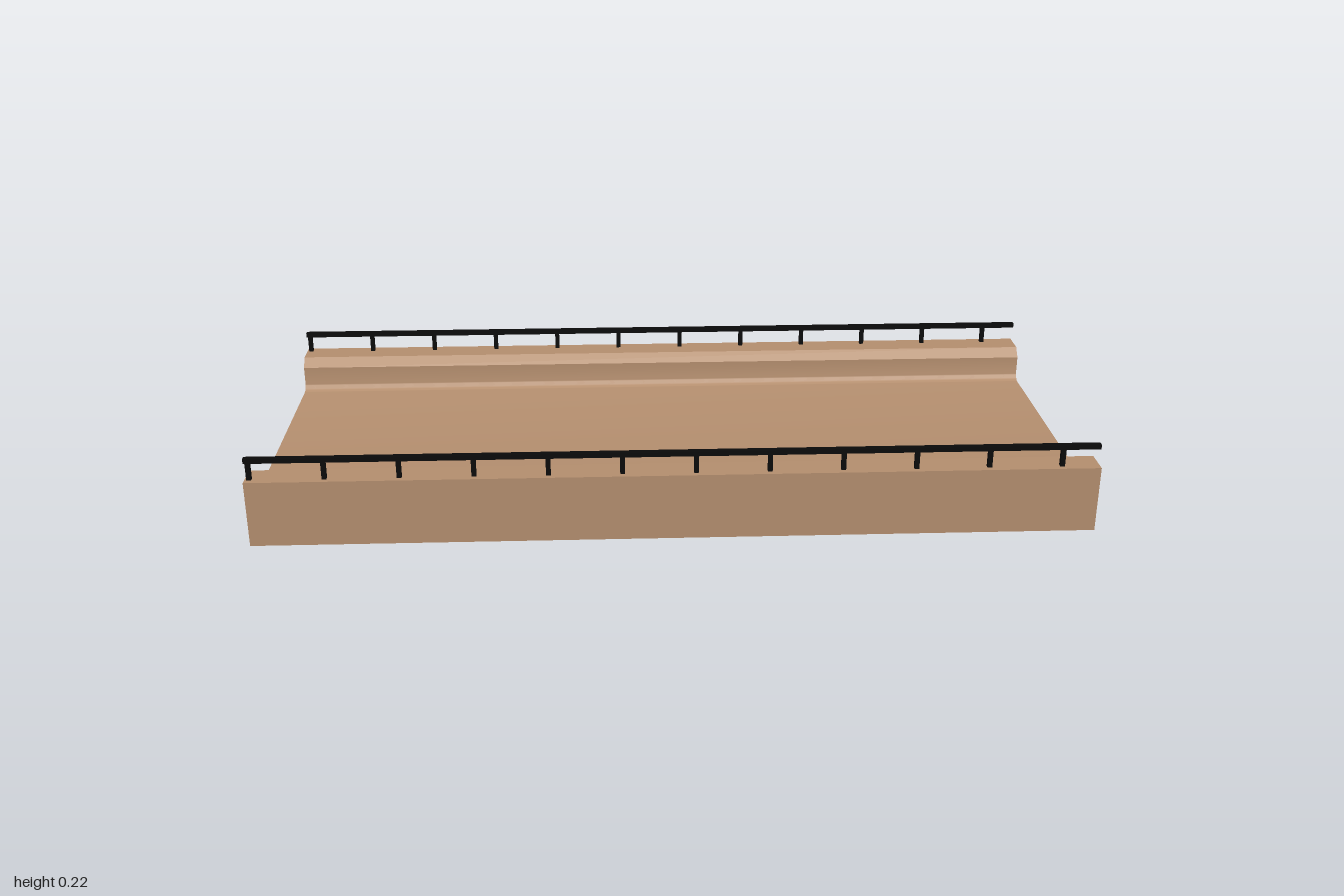
import * as THREE from 'three';
import { toCreasedNormals } from 'three/addons/utils/BufferGeometryUtils.js';

export function createModel() {
  const group = new THREE.Group();
  group.name = 'bridgeDeck';
  const stone = new THREE.MeshStandardMaterial({ color: 0xb58f6f });
  stone.name = 'tanStone';
  const iron = new THREE.MeshStandardMaterial({ color: 0x0a0a0a });
  iron.name = 'blackIron';

  // Trough-shaped cross-section: chamfered kerbs, filleted into the roadway
  const w = 0.44, top = 0.163, wall = 0.349, floor = 0.075, r = 0.022;
  const s = new THREE.Shape();
  s.moveTo(-w, 0);
  s.lineTo(w, 0);
  s.lineTo(w, top);
  s.lineTo(0.371, top);
  s.lineTo(wall, 0.14);
  s.lineTo(wall, floor + r);
  s.absarc(wall - r, floor + r, r, 0, -Math.PI / 2, true);
  s.lineTo(-wall + r, floor);
  s.absarc(-wall + r, floor + r, r, -Math.PI / 2, -Math.PI, true);
  s.lineTo(-wall, 0.14);
  s.lineTo(-0.371, top);
  s.lineTo(-w, top);
  s.closePath();
  const deckGeo = new THREE.ExtrudeGeometry(s, { depth: 2, bevelEnabled: false, curveSegments: 6 });
  deckGeo.translate(0, 0, -1).rotateY(Math.PI / 2);
  const deck = new THREE.Mesh(toCreasedNormals(deckGeo, 0.5), stone);
  deck.name = 'deck';
  group.add(deck);

  // One railing along each kerb: handrail on evenly spaced posts
  const postGeo = new THREE.BoxGeometry(0.011, 0.046, 0.011);
  const railGeo = new THREE.BoxGeometry(1.996, 0.012, 0.014);
  for (const side of [1, -1]) {
    const railing = new THREE.Group();
    railing.name = side > 0 ? 'frontRailing' : 'backRailing';
    railing.position.z = side * 0.421;
    const rail = new THREE.Mesh(railGeo, iron);
    rail.name = 'handrail';
    rail.position.y = 0.212;
    railing.add(rail);
    for (let i = 0; i < 12; i++) {
      const post = new THREE.Mesh(postGeo, iron);
      post.name = 'post';
      post.position.set(-0.989 + i * 0.1727, 0.185, 0);
      railing.add(post);
    }
    group.add(railing);
  }
  return group;
}
